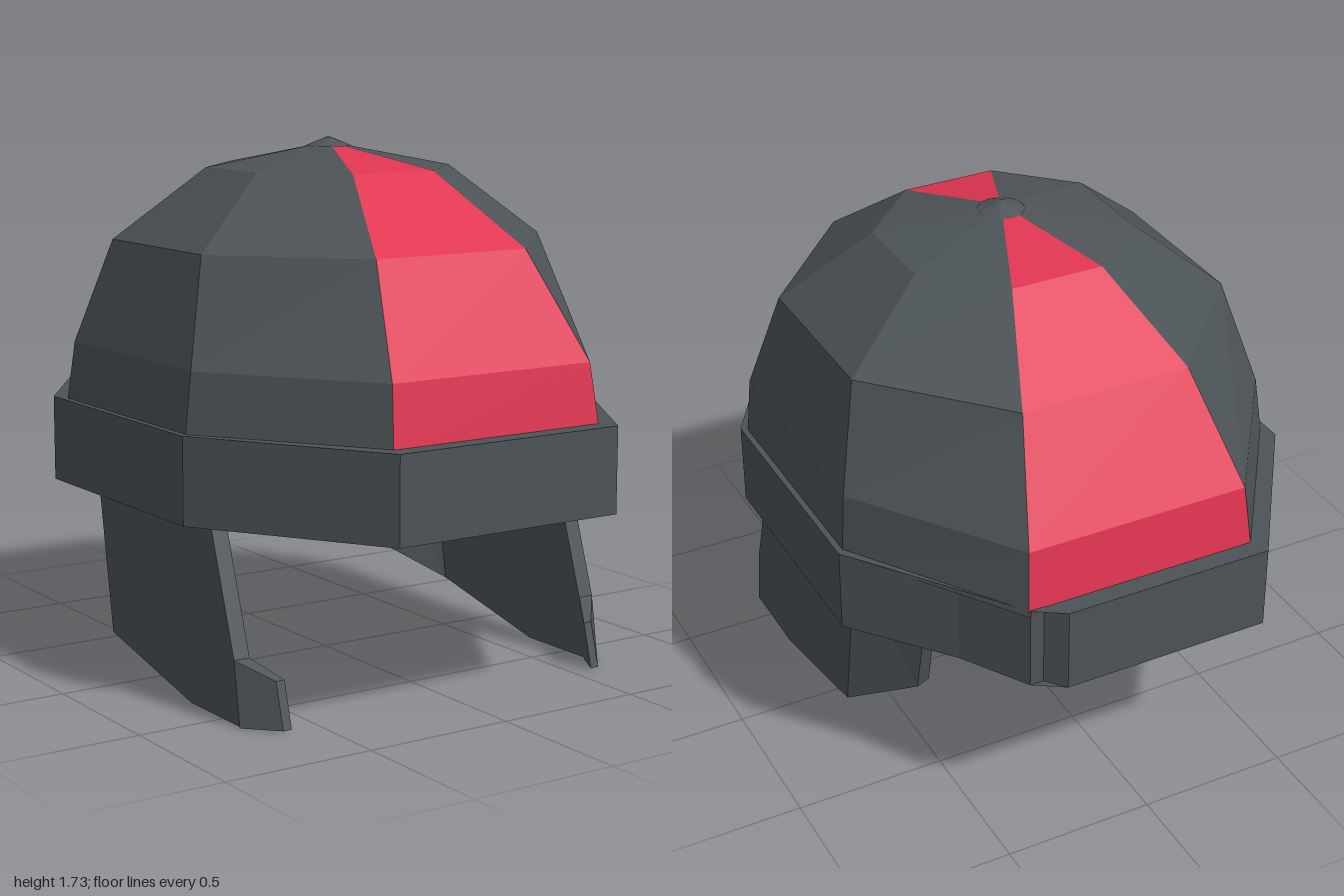
import * as THREE from 'three';

const mat = (color) => new THREE.MeshStandardMaterial({ color, flatShading: true, side: THREE.DoubleSide });

// Flat-shaded mesh from a list of convex polygons, each fanned into triangles
function polyMesh(name, polys, material) {
  const pos = [];
  for (const p of polys)
    for (let i = 1; i < p.length - 1; i++) pos.push(...p[0], ...p[i], ...p[i + 1]);
  const geo = new THREE.BufferGeometry();
  geo.setAttribute('position', new THREE.Float32BufferAttribute(pos, 3));
  geo.computeVertexNormals();
  const mesh = new THREE.Mesh(geo, material);
  mesh.name = name;
  return mesh;
}

// Stretched octagon at height y; sides at x = ±a, ends at z = ±b
const octagon = (y, a, b, cx, cz, shift = 0) => [
  [cx + 0.012, y, b], [a + shift, y, cz], [a + shift, y, -cz], [cx + 0.012, y, -b],
  [-cx + 0.012, y, -b], [-a + shift, y, -cz], [-a + shift, y, cz], [-cx + 0.012, y, b],
];

// Quads joining neighbouring rings around one sector
const sector = (rings, i) => rings.slice(1).map((up, k) => {
  const low = rings[k], j = (i + 1) % 8;
  return [low[i], low[j], up[j], up[i]];
});

// Plate with thickness: each point is [x, y, z, inward x offset, z offset]
function plate(name, points, s, material) {
  let outer = points.map(([x, y, z]) => [s * x, y, z]);
  let inner = points.map(([x, y, z, dx, dz = 0]) => [s * (x - dx), y, z + dz]);
  if (s < 0) { outer.reverse(); inner.reverse(); }
  const sides = outer.map((o, i) => {
    const j = (i + 1) % outer.length;
    return [o, inner[i], inner[j], outer[j]];
  });
  return polyMesh(name, [outer, [...inner].reverse(), ...sides], material);
}

export function createModel() {
  const model = new THREE.Group();
  model.name = 'helmet';
  const dark = mat(0x4c5357), red = mat(0xde3450);

  // Dome: eight faceted panels, the front and back ones red
  const rings = [
    octagon(0.86, 0.767, 0.937, 0.391, 0.39),
    octagon(1.07, 0.745, 0.905, 0.375, 0.38, 0.006),
    octagon(1.41, 0.655, 0.69, 0.285, 0.285, 0.012),
    octagon(1.64, 0.377, 0.375, 0.156, 0.156, 0.012),
    Array(8).fill([0.012, 1.72, 0]),
  ];
  const dome = new THREE.Group();
  dome.name = 'dome';
  for (let i = 0; i < 8; i++) {
    const stripe = i === 3 || i === 7;
    dome.add(polyMesh(stripe ? 'redPanel' : 'domePanel', sector(rings, i), stripe ? red : dark));
  }
  model.add(dome);

  // Cap button on the crown
  const button = new THREE.Mesh(new THREE.CylinderGeometry(0.008, 0.077, 0.028, 12), dark);
  button.name = 'crownButton';
  button.position.set(0.012, 1.721, 0);
  model.add(button);

  // Brow band: closed ring with a slightly uneven rear edge
  const outline = (y) => {
    const o = octagon(y, 0.785, 1, 0.413, 0.405);
    o[3][0] = 0.3;
    o[5][2] = -0.45;
    return o;
  };
  const inset = (y) => octagon(y, 0.732, 0.937, 0.385, 0.385);
  const loop = [inset(0.6), outline(0.6), outline(0.88), inset(0.88), inset(0.6)];
  const bandQuads = [];
  for (let i = 0; i < 8; i++) bandQuads.push(...sector(loop, i));
  model.add(polyMesh('browBand', bandQuads, dark));

  // Cheek guards: main plate, rear flap bent inward, and a small front tip
  for (const s of [1, -1]) {
    const guard = new THREE.Group();
    guard.name = s > 0 ? 'leftCheekGuard' : 'rightCheekGuard';
    guard.position.x = -0.012;
    guard.add(plate('cheekPlate', [
      [0.702, 0.75, 0.40, 0.055], [0.702, 0.21, 0.58, 0.055], [0.702, 0.01, 0.61, 0.055],
      [0.702, 0.01, 0.32, 0.055], [0.702, 0.12, -0.19, 0.055, 0.02], [0.702, 0.75, -0.295, 0.055, 0.02],
    ], s, dark));
    guard.add(plate('rearFlap', [
      [0.702, 0.75, -0.295, 0.055, 0.02], [0.702, 0.12, -0.19, 0.055, 0.02],
      [0.53, 0.24, -0.38, 0.05, 0.02], [0.53, 0.75, -0.49, 0.05, 0.02],
    ], s, dark));
    guard.add(plate('frontTip', [
      [0.702, 0.21, 0.58, 0.055], [0.615, 0.155, 0.68, 0.03],
      [0.615, 0.01, 0.72, 0.03], [0.702, 0.005, 0.61, 0.055],
    ], s, dark));
    model.add(guard);
  }
  return model;
}
